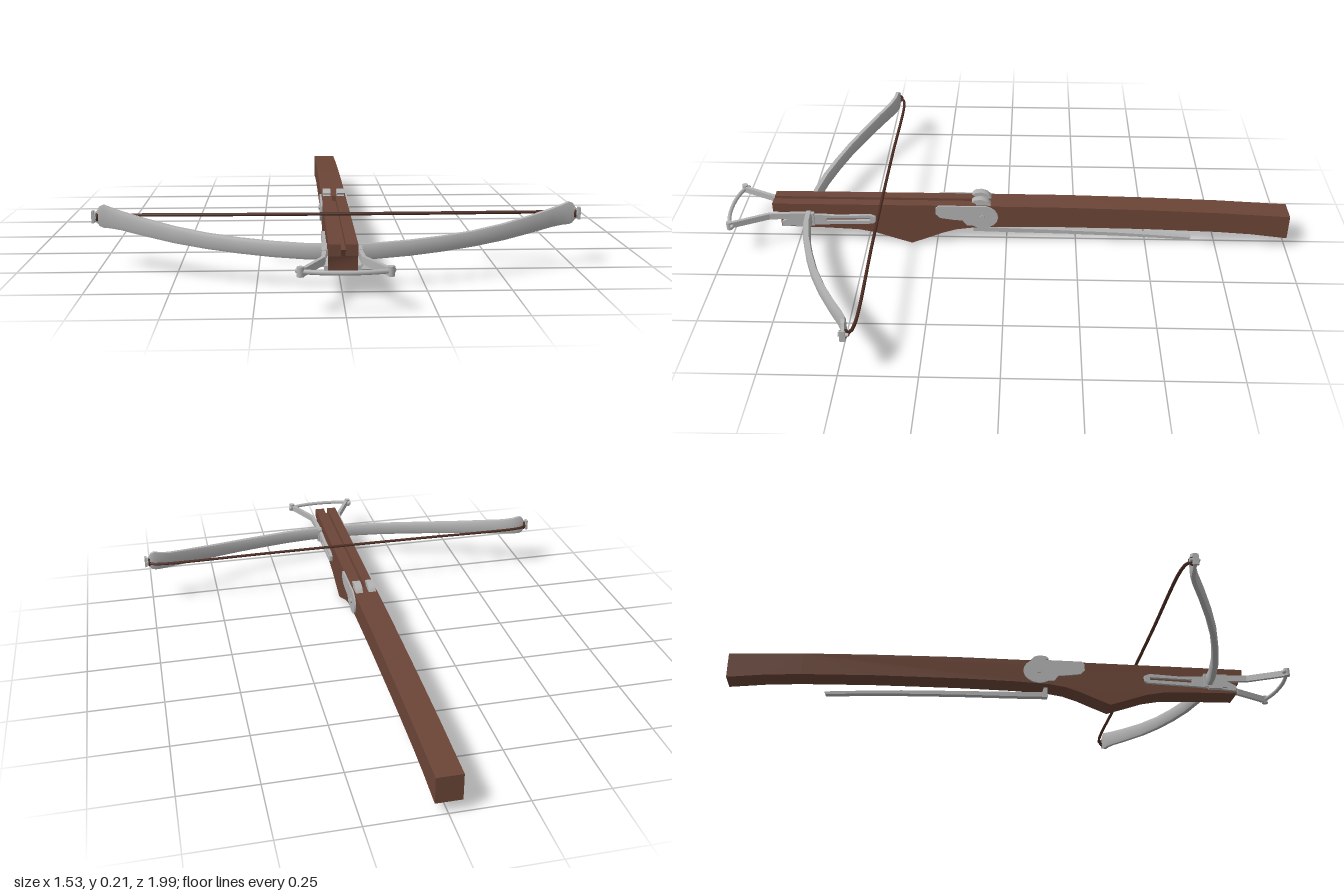
import * as THREE from 'three';
import { toCreasedNormals } from 'three/addons/utils/BufferGeometryUtils.js';

const mat = (name, color) => Object.assign(new THREE.MeshStandardMaterial({ color }), { name });

export function createModel() {
  const wood = mat('wood', 0x6b4537);
  const steel = mat('steel', 0xb2b2b2);
  const cord = mat('cord', 0x4f2e24);
  const model = new THREE.Group();
  const V = (x, y, z) => new THREE.Vector3(x, y, z);

  const add = (name, geo, material, x = 0, y = 0, z = 0) => {
    const m = new THREE.Mesh(geo, material);
    m.name = name;
    m.position.set(x, y, z);
    model.add(m);
    return m;
  };
  const box = (name, w, h, d, material, x, y, z) =>
    add(name, new THREE.BoxGeometry(w, h, d), material, x, y, z);

  // Side profile of [z, y] points, extruded from x0 to x1
  const profile = (pts, x0, x1, hole) => {
    const s = new THREE.Shape(pts.map(p => new THREE.Vector2(...p)));
    if (hole) s.holes.push(new THREE.Path(hole.map(p => new THREE.Vector2(...p))));
    const g = new THREE.ExtrudeGeometry(s, { depth: x1 - x0, bevelEnabled: false });
    g.rotateY(-Math.PI / 2).translate(x1, 0, 0);
    return toCreasedNormals(g, 0.5);
  };
  const tube = (pts, r, n = 24, sides = 8) =>
    new THREE.TubeGeometry(new THREE.CatmullRomCurve3(pts, false, 'centripetal'), n, r, sides);

  // Stock: lower body with belly, and two rails leaving the bolt groove between
  add('stock', profile([
    [-1, 0.045], [-0.87, 0.06], [-0.75, 0.068], [-0.5, 0.076], [-0.2, 0.079], [0, 0.077], [0.12, 0.072],
    [0.18, 0.063], [0.23, 0.047], [0.28, 0.026], [0.34, 0.002], [0.4, 0.022], [0.47, 0.046], [0.53, 0.058],
    [0.65, 0.064], [0.805, 0.068], [0.805, 0.115], [0.82, 0.145], [0.1, 0.145], [0.1, 0.163],
    [-0.2, 0.162], [-0.5, 0.156], [-0.75, 0.148], [-1, 0.135],
  ], -0.042, 0.042), wood);

  for (const s of [-1, 1]) {
    box('grooveRail', 0.035, 0.034, 0.73, wood, s * 0.0245, 0.146, 0.465);

    // Lock plate with a round rear and stepped front
    const plate = [[0.25, 0.155], [0.25, 0.13], [0.235, 0.115], [0.19, 0.108], [0.155, 0.105], [0.14, 0.085]];
    for (let i = 0; i <= 10; i++) {
      const a = -0.9 - i * 0.36;
      plate.push([0.085 + 0.056 * Math.cos(a), 0.12 + 0.046 * Math.sin(a)]);
    }
    plate.push([0.12, 0.164], [0.24, 0.164]);
    add('lockPlate', profile(plate, s * 0.0445 - 0.003, s * 0.0445 + 0.003), steel);
    const pin = add('lockPin', new THREE.CylinderGeometry(0.009, 0.009, 0.006, 12), steel, s * 0.049, 0.12, 0.085);
    pin.rotation.z = Math.PI / 2;

    // Nut lug holding the string
    add('nutLug', profile([[0.05, 0.15], [0.115, 0.15], [0.105, 0.168], [0.122, 0.176], [0.112, 0.184],
      [0.09, 0.187], [0.07, 0.181], [0.057, 0.168]], s * 0.024 - 0.013, s * 0.024 + 0.013), steel);

    // Slotted bow iron along the stock side, with lashing plate
    add('bowIron', profile(
      [[0.465, 0.098], [0.475, 0.09], [0.66, 0.084], [0.8, 0.074], [0.8, 0.094], [0.74, 0.124], [0.66, 0.124],
        [0.6, 0.12], [0.485, 0.125], [0.465, 0.117]],
      s * 0.047 - 0.006, s * 0.047 + 0.006,
      [[0.485, 0.102], [0.485, 0.112], [0.64, 0.11], [0.64, 0.098]]), steel);
    box('bowClamp', 0.014, 0.05, 0.085, steel, s * 0.052, 0.108, 0.725);

    // Stirrup arm and end knob
    const arm = [[0.05, 0.73], [0.057, 0.84], [0.118, 0.968]];
    for (let i = 0; i < 2; i++) {
      const [x0, z0] = arm[i], [x1, z1] = arm[i + 1];
      const bar = box('stirrupArm', 0.012, 0.022, Math.hypot(x1 - x0, z1 - z0) + 0.006, steel,
        s * (x0 + x1) / 2, 0.12, (z0 + z1) / 2);
      bar.rotation.y = s * Math.atan2(x1 - x0, z1 - z0);
    }
    add('stirrupKnob', new THREE.CylinderGeometry(0.011, 0.011, 0.028, 10), steel, s * 0.122, 0.122, 0.968);
    add('stirrupFinial', new THREE.SphereGeometry(0.008, 10, 8), steel, s * 0.129, 0.122, 0.957);

    // Nock at the limb tip
    const nock = add('nockPeg', new THREE.CylinderGeometry(0.006, 0.006, 0.032, 8), steel, s * 0.757, 0.172, 0.466);
    nock.rotation.x = Math.PI / 2;
    box('nockCap', 0.008, 0.038, 0.018, steel, s * 0.763, 0.172, 0.468);
    const loop = add('stringLoop', new THREE.TorusGeometry(0.013, 0.004, 6, 16), cord, s * 0.75, 0.172, 0.464);
    loop.rotation.y = Math.PI / 2;
  }
  box('bowSaddle', 0.118, 0.012, 0.05, steel, 0, 0.084, 0.725);

  // Curved foot bar of the stirrup
  add('stirrupBar', tube([V(-0.122, 0.122, 0.968), V(-0.06, 0.122, 0.982), V(0, 0.122, 0.986),
    V(0.06, 0.122, 0.982), V(0.122, 0.122, 0.968)], 0.007), steel);

  // Bow: half stations [x, y, z, height, thickness], mirrored and lofted
  const half = [
    [0, 0.112, 0.705, 0.046, 0.024], [0.1, 0.1125, 0.7, 0.046, 0.024], [0.2, 0.116, 0.682, 0.046, 0.024],
    [0.3, 0.121, 0.654, 0.046, 0.024], [0.4, 0.128, 0.62, 0.047, 0.023], [0.5, 0.138, 0.577, 0.05, 0.022],
    [0.6, 0.152, 0.527, 0.054, 0.021], [0.67, 0.163, 0.489, 0.058, 0.02], [0.705, 0.169, 0.474, 0.064, 0.02],
    [0.73, 0.174, 0.468, 0.072, 0.018], [0.742, 0.174, 0.467, 0.062, 0.016], [0.752, 0.172, 0.467, 0.034, 0.014],
    [0.764, 0.172, 0.469, 0.026, 0.014],
  ];
  const stations = [...half.slice(1).reverse().map(([x, ...r]) => [-x, ...r]), ...half];
  const section = [[-0.5, -0.3], [-0.32, -0.5], [0.32, -0.5], [0.5, -0.3], [0.5, 0.3], [0.32, 0.5], [-0.32, 0.5], [-0.5, 0.3]];
  const pos = [], index = [], n = section.length;
  stations.forEach(([x, y, z, h, t], i) => {
    const a = stations[Math.max(i - 1, 0)], b = stations[Math.min(i + 1, stations.length - 1)];
    const dx = b[0] - a[0], dz = b[2] - a[2], l = Math.hypot(dx, dz);
    for (const [u, v] of section) pos.push(x - u * t * dz / l, y + v * h, z + u * t * dx / l);
    if (i) for (let j = 0; j < n; j++) {
      const k = (j + 1) % n, p = (i - 1) * n, q = i * n;
      index.push(p + j, p + k, q + j, p + k, q + k, q + j);
    }
  });
  const last = (stations.length - 1) * n;
  for (let j = 1; j < n - 1; j++) index.push(0, j + 1, j, last, last + j, last + j + 1);
  // Wind the faces outward
  for (let i = 0; i < index.length; i += 3) [index[i + 1], index[i + 2]] = [index[i + 2], index[i + 1]];
  const bow = new THREE.BufferGeometry();
  bow.setAttribute('position', new THREE.Float32BufferAttribute(pos, 3));
  bow.setIndex(index);
  // Signed volume decides whether the winding must be reversed
  let volume = 0;
  const at = i => V(pos[i * 3], pos[i * 3 + 1], pos[i * 3 + 2]);
  for (let i = 0; i < index.length; i += 3) volume += at(index[i]).dot(at(index[i + 1]).cross(at(index[i + 2])));
  if (volume < 0) bow.setIndex(index.reverse());
  add('bow', toCreasedNormals(bow, 0.6), steel);

  // Bowstring
  const strand = [[0.758, 0.46], [0.735, 0.445], [0.69, 0.438], [0.3, 0.441]];
  add('bowstring', tube([...strand.map(([x, z]) => V(-x, 0.17, z)), V(0, 0.17, 0.442),
    ...strand.reverse().map(([x, z]) => V(x, 0.17, z))], 0.0055, 48, 6), cord);

  // Long trigger lever beneath the stock
  add('triggerLever', profile([
    [0.12, 0.072], [0.12, 0.036], [0, 0.033], [-0.2, 0.03], [-0.4, 0.024], [-0.55, 0.017], [-0.66, 0.01],
    [-0.665, 0.02], [-0.55, 0.028], [-0.4, 0.037], [-0.2, 0.044], [0, 0.05], [0.1, 0.054], [0.108, 0.078],
  ], -0.011, 0.011), steel);

  return model;
}
